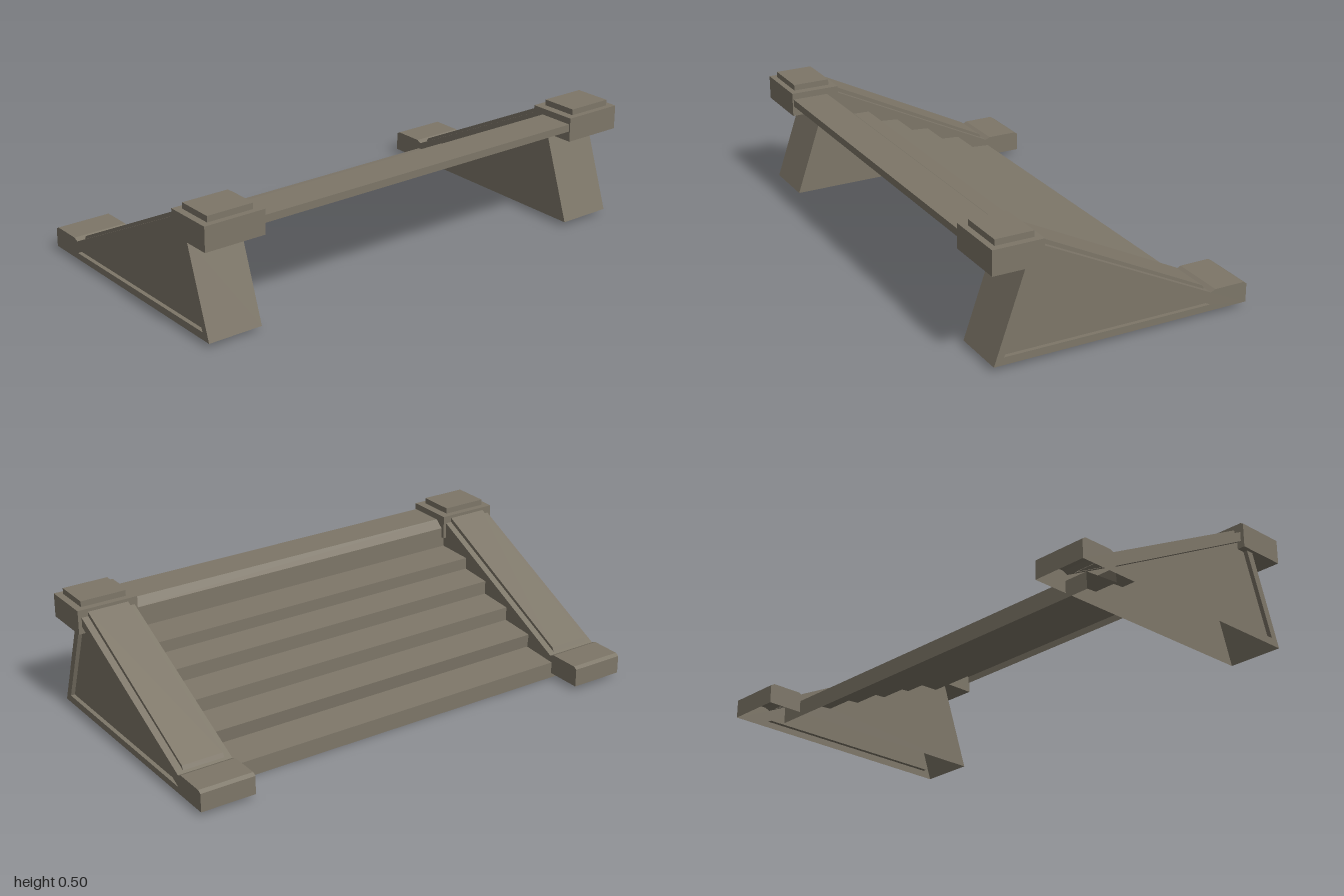
import * as THREE from 'three';

const stone = new THREE.MeshStandardMaterial({ color: 0x7d7668, side: THREE.DoubleSide });
stone.name = 'stone';

function add(parent, geometry, name) {
  const mesh = new THREE.Mesh(geometry, stone);
  mesh.name = name;
  parent.add(mesh);
  return mesh;
}

// Thin sheet: an xy polyline swept straight from z0 to z1, flat on every segment
function sweep(points, z0, z1) {
  const pos = [];
  for (let i = 0; i + 1 < points.length; i++) {
    const [ax, ay] = points[i], [bx, by] = points[i + 1];
    pos.push(ax, ay, z0, ax, ay, z1, bx, by, z1);
    pos.push(ax, ay, z0, bx, by, z1, bx, by, z0);
  }
  const g = new THREE.BufferGeometry();
  g.setAttribute('position', new THREE.Float32BufferAttribute(pos, 3));
  g.computeVertexNormals();
  return g;
}

const toVectors = (points) => points.map(([x, y]) => new THREE.Vector2(x, y));

function plate(points, z, hole) {
  const shape = new THREE.Shape(toVectors(points));
  if (hole) shape.holes.push(new THREE.Path(toVectors(hole)));
  return new THREE.ShapeGeometry(shape).translate(0, 0, z);
}

function box(x0, x1, y0, y1, z0, z1) {
  return new THREE.BoxGeometry(x1 - x0, y1 - y0, z1 - z0)
    .translate((x0 + x1) / 2, (y0 + y1) / 2, (z0 + z1) / 2);
}

function createSide() {
  const side = new THREE.Group();
  const inner = 0.758, outer = 0.985, recess = 0.968;

  // Hollow sloping wall with a foot, open underneath
  const profile = [
    [0.525, 0.02], [0.4, 0.38], [0.37, 0.462], [-0.38, 0.095],
    [-0.4, 0.104], [-0.525, 0.104], [-0.54, 0.095], [-0.54, 0.02],
  ];
  const panel = [[-0.38, 0.046], [0.485, 0.05], [0.355, 0.416]];
  add(side, sweep(profile, inner, outer), 'wallEdge');
  add(side, plate(profile, inner), 'wallInnerFace');
  add(side, plate(profile, outer, panel), 'wallOuterFrame');

  // Sunken triangular panel
  add(side, sweep([...panel, panel[0]], recess, outer), 'panelRim');
  add(side, plate(panel, recess), 'sunkenPanel');

  // Raised strip along the slope
  const strip = [[-0.37, 0.098], [-0.36, 0.117], [0.345, 0.468], [0.345, 0.45]];
  add(side, sweep(strip, 0.785, 0.957), 'slopeStripTop');
  for (const z of [0.785, 0.957]) add(side, plate(strip, z), 'slopeStripSide');

  // Block and cap at the top end
  add(side, box(0.335, 0.54, 0.378, 0.476, 0.745, 1), 'postBlock');
  add(side, box(0.362, 0.516, 0.476, 0.5, 0.78, 0.972), 'postCap');
  return side;
}

export function createModel() {
  const model = new THREE.Group();
  model.name = 'staircase';

  // Zigzag of risers and gently rising treads, ending in a bevelled landing
  const edges = [-0.39, -0.24, -0.09, 0.055, 0.19, 0.35];
  const steps = [[edges[0], 0]];
  for (let i = 0; i < 5; i++) {
    const y = 0.068 * (i + 1);
    steps.push([edges[i], y], [edges[i + 1] + (i === 0 ? 0.006 : 0), y + 0.011]);
  }
  steps[steps.length - 1][1] = 0.336;
  steps[steps.length - 2][1] = 0.332;
  steps.push([0.35, 0.42], [0.385, 0.45], [0.535, 0.45], [0.535, 0.42]);
  add(model, sweep(steps, -0.86, 0.86), 'steps');

  // Matching walls on both sides
  const front = createSide();
  front.name = 'frontWall';
  const back = createSide();
  back.name = 'backWall';
  back.scale.z = -1;
  model.add(front, back);
  return model;
}
